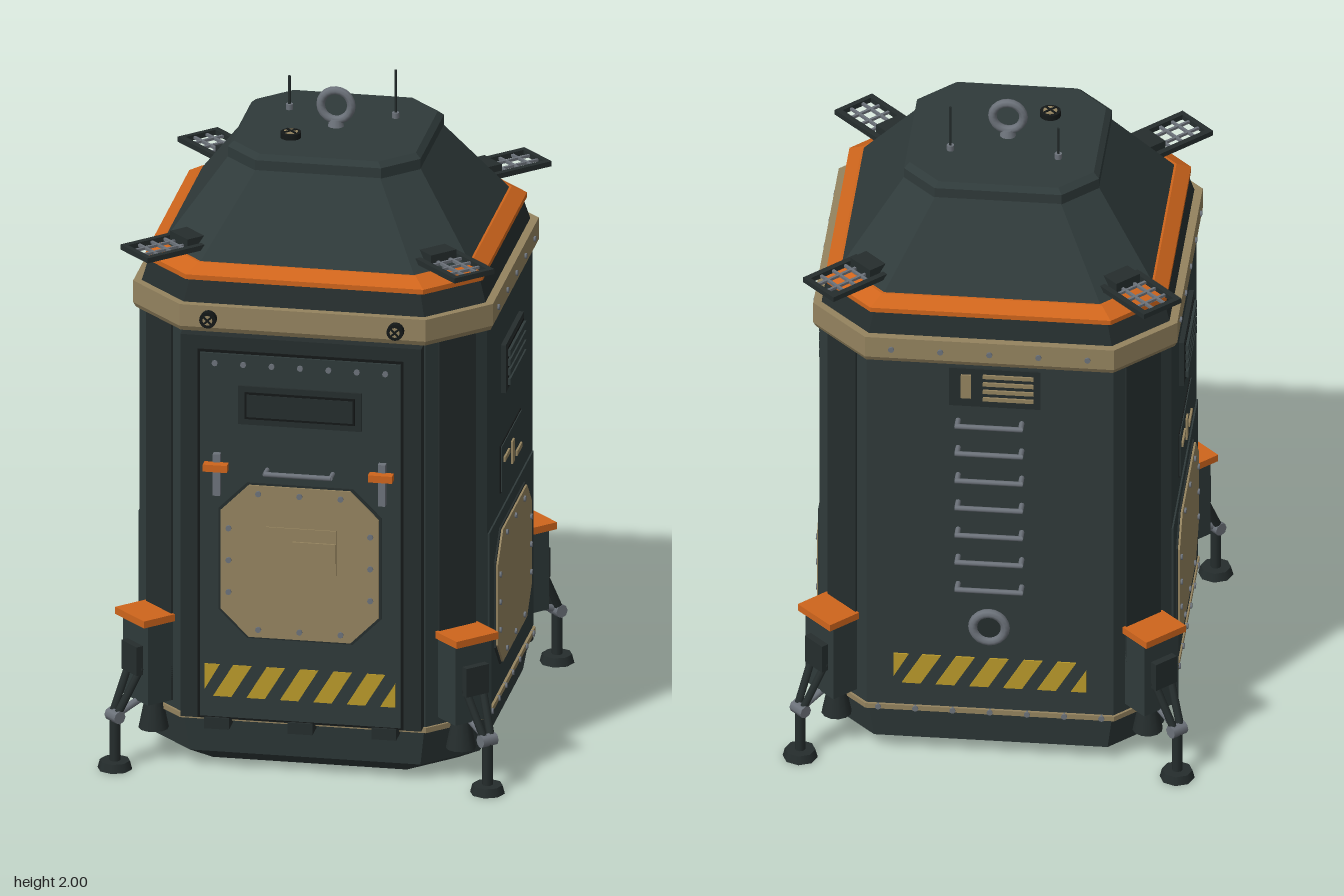
import * as THREE from 'three';

const mat = (name, color) => {
  const m = new THREE.MeshStandardMaterial({ color });
  m.name = name;
  return m;
};
const hull = mat('hull slate', 0x2f3a3a), dark = mat('dark slate', 0x252d2d), black = mat('black', 0x141818);
const tan = mat('tan', 0x94835f), orange = mat('orange', 0xcf651c), yellow = mat('yellow', 0xb9992a), grey = mat('grey', 0x6c727a);

function add(parent, name, geo, material, x = 0, y = 0, z = 0) {
  const m = new THREE.Mesh(geo, material);
  m.name = name;
  m.position.set(x, y, z);
  parent.add(m);
  return m;
}
// Box given by its limits
const box = (p, name, m, x0, x1, y0, y1, z0, z1) =>
  add(p, name, new THREE.BoxGeometry(x1 - x0, y1 - y0, z1 - z0), m, (x0 + x1) / 2, (y0 + y1) / 2, (z0 + z1) / 2);
const cyl = (p, name, m, r0, r1, h, x, y, z, n = 12) =>
  add(p, name, new THREE.CylinderGeometry(r0, r1, h, n), m, x, y, z);
// Short cylinder pointing out of a wall (+z)
const disc = (p, name, m, r, h, x, y, z, n = 12) => {
  const d = cyl(p, name, m, r, r, h, x, y, z, n);
  d.rotation.x = Math.PI / 2;
  return d;
};
const bolt = (p, x, y, z) => disc(p, 'bolt', grey, 0.009, 0.012, x, y, z, 8);
// Rod between two points
function rod(p, name, m, a, b, r, n = 8) {
  const A = new THREE.Vector3(...a), B = new THREE.Vector3(...b), d = B.clone().sub(A);
  const s = cyl(p, name, m, r, r, d.length(), 0, 0, 0, n);
  s.position.copy(A).add(B).multiplyScalar(0.5);
  s.quaternion.setFromUnitVectors(new THREE.Vector3(0, 1, 0), d.normalize());
}
// Flat-sided loft through square rings with cut corners: [y, half width, corner cut]
function loft(rings) {
  const loops = rings.map(([y, h, c]) => {
    const k = h - c;
    return [[h, -k], [h, k], [k, h], [-k, h], [-h, k], [-h, -k], [-k, -h], [k, -h]].map(([x, z]) => [x, y, z]);
  });
  const v = [], top = loops[loops.length - 1], bot = loops[0];
  for (let i = 0; i < 8; i++) {
    const j = (i + 1) % 8;
    for (let r = 0; r + 1 < loops.length; r++) {
      const a = loops[r], b = loops[r + 1];
      v.push(...a[i], ...b[i], ...b[j], ...a[i], ...b[j], ...a[j]);
    }
    v.push(0, top[0][1], 0, ...top[j], ...top[i], 0, bot[0][1], 0, ...bot[i], ...bot[j]);
  }
  const g = new THREE.BufferGeometry();
  g.setAttribute('position', new THREE.Float32BufferAttribute(v, 3));
  g.computeVertexNormals();
  return g;
}
// Extruded polygon
const plate = (p, name, m, pts, depth, x, y, z) =>
  add(p, name, new THREE.ExtrudeGeometry(new THREE.Shape(pts.map(q => new THREE.Vector2(...q))), { depth, bevelEnabled: false }), m, x, y, z);

// Cut-corner cover with bolts round its edge
function hatch(p, name, w, h, c, y, z) {
  const ring = (a, b, k) => [[-a + k, -b], [a - k, -b], [a, -b + k], [a, b - k], [a - k, b], [-a + k, b], [-a, b - k], [-a, -b + k]];
  plate(p, name + 'Edge', dark, ring(w + 0.006, h + 0.006, c), 0.006, 0, y, z);
  plate(p, name, tan, ring(w, h, c), 0.012, 0, y, z);
  for (const s of [-1, 1]) {
    for (const i of [-1, 0, 1]) bolt(p, i * w * 0.52, y + s * (h - 0.025), z + 0.012);
    for (const i of [-1, 0, 1]) bolt(p, s * (w - 0.025), y + i * h * 0.42, z + 0.012);
  }
}
// Slanted warning stripes
function hazard(p, z) {
  const s = (pts) => plate(p, 'warningStripe', yellow, pts, 0.006, 0, 0.255, z);
  for (let k = 0; k < 5; k++) {
    const b = -0.26 + k * 0.1;
    s([[b, 0], [b + 0.055, 0], [b + 0.115, 0.1], [b + 0.06, 0.1]]);
  }
  s([[-0.285, 0.02], [-0.24, 0.1], [-0.285, 0.1]]);
  s([[0.24, 0], [0.285, 0], [0.285, 0.075]]);
}

function buildFront(f) {
  box(f, 'doorFrame', dark, -0.36, 0.36, 0.18, 1.38, 0.5, 0.565);
  box(f, 'doorGap', black, -0.308, 0.308, 0.182, 1.338, 0.52, 0.568);
  box(f, 'door', hull, -0.3, 0.3, 0.19, 1.33, 0.52, 0.575);
  for (let i = -3; i <= 3; i++) bolt(f, i * 0.085, 1.3, 0.575);
  box(f, 'windowFrame', dark, -0.185, 0.185, 1.115, 1.235, 0.57, 0.582);
  box(f, 'windowGap', black, -0.165, 0.165, 1.133, 1.217, 0.57, 0.584);
  box(f, 'window', dark, -0.158, 0.158, 1.14, 1.21, 0.57, 0.586);
  hatch(f, 'doorHatch', 0.237, 0.238, 0.085, 0.688, 0.573);
  box(f, 'hatchPlate', tan, -0.1, 0.11, 0.66, 0.8, 0.58, 0.589);
  box(f, 'hatchPlateStep', tan, -0.02, 0.11, 0.7, 0.76, 0.58, 0.595);
  hazard(f, 0.572);
  for (const s of [-1, 1]) {
    box(f, 'latchBar', grey, s * 0.247 - 0.011, s * 0.247 + 0.011, 0.89, 1.02, 0.57, 0.595);
    box(f, 'latchLever', orange, s * 0.247 - 0.036, s * 0.247 + 0.036, 0.973, 0.995, 0.59, 0.62);
    rod(f, 'handlePost', grey, [s * 0.098, 0.975, 0.57], [s * 0.098, 0.975, 0.617], 0.007);
    disc(f, 'lampRim', black, 0.025, 0.03, s * 0.28, 1.425, 0.545, 16);
    disc(f, 'lamp', tan, 0.015, 0.032, s * 0.28, 1.425, 0.546);
    for (const t of [-1, 1]) box(f, 'lampCross', black, -0.017, 0.017, -0.003, 0.003, -0.002, 0.002)
      .position.set(s * 0.28, 1.425, 0.562), f.children[f.children.length - 1].rotation.z = t * Math.PI / 4;
  }
  rod(f, 'doorHandle', grey, [-0.1, 0.975, 0.615], [0.1, 0.975, 0.615], 0.008);
  for (const x of [-0.25, 0, 0.25]) box(f, 'doorHinge', dark, x - 0.037, x + 0.037, 0.15, 0.185, 0.5, 0.575);
}

function buildSide(f) {
  box(f, 'lowerPanel', hull, -0.355, 0.355, 0.19, 0.735, 0.51, 0.525);
  hatch(f, 'sideHatch', 0.272, 0.207, 0.08, 0.482, 0.524);
  // Louvred vent
  box(f, 'ventFrame', dark, -0.145, 0.145, 1.1, 1.25, 0.51, 0.535);
  box(f, 'ventGap', black, -0.128, 0.128, 1.113, 1.237, 0.51, 0.538);
  for (let i = 0; i < 4; i++) box(f, 'ventSlat', hull, -0.126, 0.126, 1.119 + i * 0.03, 1.139 + i * 0.03, 0.51, 0.546);
  // Marker panel
  box(f, 'markerPanelEdge', black, -0.164, 0.164, 0.791, 0.939, 0.51, 0.523);
  box(f, 'markerPanel', hull, -0.16, 0.16, 0.795, 0.935, 0.51, 0.526);
  box(f, 'marker', tan, -0.135, -0.055, 0.88, 0.895, 0.52, 0.532);
  box(f, 'marker', tan, -0.017, 0.017, 0.83, 0.9, 0.52, 0.532);
  box(f, 'marker', tan, 0.058, 0.138, 0.828, 0.843, 0.52, 0.532);
}

function buildBack(f) {
  box(f, 'backPlate', dark, -0.12, 0.15, 1.235, 1.365, 0.51, 0.528);
  box(f, 'backMarker', tan, -0.085, -0.055, 1.265, 1.345, 0.52, 0.534);
  for (let i = 0; i < 4; i++) box(f, 'backSlat', tan, -0.02, 0.13, 1.258 + i * 0.026, 1.27 + i * 0.026, 0.52, 0.534);
  // Ladder of staple rungs
  for (let i = 0; i < 7; i++) {
    const y = 1.18 - i * 0.095;
    rod(f, 'rung', grey, [-0.1, y, 0.556], [0.1, y, 0.556], 0.008);
    for (const s of [-1, 1]) rod(f, 'rungPost', grey, [s * 0.094, y, 0.51], [s * 0.094, y, 0.556], 0.008);
  }
  disc(f, 'port', dark, 0.045, 0.04, 0, 0.48, 0.53, 16);
  add(f, 'portRing', new THREE.TorusGeometry(0.048, 0.014, 8, 20), grey, 0, 0.48, 0.548);
  hazard(f, 0.519);
}

function buildCorner(c) {
  // Raised strip down the corner
  box(c, 'cornerStrip', dark, -0.065, 0.065, 0.2, 1.38, 0.58, 0.632);
  // Leg housing with cap and nozzle
  box(c, 'legHousing', hull, -0.065, 0.065, 0.2, 0.45, 0.58, 0.715);
  box(c, 'housingCap', orange, -0.075, 0.075, 0.45, 0.472, 0.58, 0.736);
  box(c, 'housingPlate', dark, -0.04, 0.04, 0.29, 0.38, 0.7, 0.738);
  cyl(c, 'nozzle', dark, 0.025, 0.045, 0.1, 0, 0.15, 0.65);
  // Struts, foot and pad
  for (const s of [-1, 1]) rod(c, 'strut', dark, [s * 0.03, 0.31, 0.715], [s * 0.012, 0.17, 0.788], 0.012);
  rod(c, 'brace', grey, [0, 0.21, 0.67], [0, 0.165, 0.788], 0.011);
  rod(c, 'ankle', grey, [-0.026, 0.165, 0.788], [0.026, 0.165, 0.788], 0.02);
  cyl(c, 'foot', dark, 0.016, 0.016, 0.15, 0, 0.095, 0.788, 8);
  cyl(c, 'footPad', dark, 0.045, 0.052, 0.026, 0, 0.013, 0.788, 8);
  // Open grate on the roof edge
  for (const s of [-1, 1]) {
    box(c, 'grateRail', dark, s * 0.062 - 0.009, s * 0.062 + 0.009, 1.592, 1.608, 0.5, 0.72);
    box(c, 'grateBar', grey, s * 0.022 - 0.004, s * 0.022 + 0.004, 1.596, 1.604, 0.52, 0.71);
  }
  box(c, 'grateEnd', dark, -0.062, 0.062, 1.592, 1.608, 0.704, 0.72);
  for (const z of [0.575, 0.62, 0.665]) box(c, 'grateBar', grey, -0.06, 0.06, 1.596, 1.604, z - 0.004, z + 0.004);
  box(c, 'grateMount', dark, -0.045, 0.045, 1.59, 1.625, 0.49, 0.56);
}

export function createModel() {
  const model = new THREE.Group();
  model.name = 'landerPod';
  const pod = new THREE.Group();
  pod.name = 'pod';
  pod.position.z = -0.008;
  model.add(pod);

  // Hull stack from bottom to top
  add(pod, 'lowerHull', loft([[0.003, 0.42, 0.13], [0.05, 0.495, 0.15], [0.165, 0.515, 0.155]]), hull);
  add(pod, 'bottomTrim', loft([[0.162, 0.528, 0.16], [0.178, 0.528, 0.16]]), tan);
  add(pod, 'body', loft([[0.178, 0.52, 0.155], [1.385, 0.52, 0.155]]), hull);
  add(pod, 'upperBand', loft([[1.38, 0.53, 0.165], [1.395, 0.538, 0.17], [1.463, 0.538, 0.17]]), tan);
  add(pod, 'roofSkirt', loft([[1.46, 0.515, 0.155], [1.53, 0.495, 0.15]]), dark);
  add(pod, 'roofStripe', loft([[1.53, 0.505, 0.15], [1.545, 0.505, 0.15], [1.572, 0.465, 0.14]]), orange);
  add(pod, 'roof', loft([[1.57, 0.46, 0.14], [1.815, 0.28, 0.1]]), hull);
  add(pod, 'roofTop', loft([[1.8, 0.288, 0.1], [1.835, 0.288, 0.1], [1.85, 0.272, 0.095]]), hull);

  // Four walls, each built facing +z and turned into place
  [buildFront, buildSide, buildBack, buildSide].forEach((build, i) => {
    const wall = new THREE.Group();
    wall.name = ['frontWall', 'leftWall', 'backWall', 'rightWall'][i];
    wall.rotation.y = i * Math.PI / 2;
    build(wall);
    if (i > 0) {
      for (let k = -2; k <= 2; k++) bolt(wall, k * 0.145, 1.425, 0.538);
      for (let k = -3; k <= 3; k++) bolt(wall, k * 0.11, 0.17, 0.527);
    }
    pod.add(wall);
  });
  // Four corners
  for (let i = 0; i < 4; i++) {
    const corner = new THREE.Group();
    corner.name = 'corner';
    corner.rotation.y = Math.PI / 4 + i * Math.PI / 2;
    buildCorner(corner);
    pod.add(corner);
  }

  // Roof fittings
  add(pod, 'liftingRing', new THREE.TorusGeometry(0.046, 0.013, 8, 20), grey, 0, 1.915, 0);
  cyl(pod, 'ringBase', grey, 0.018, 0.025, 0.025, 0, 1.86, 0);
  for (const [x, z, h] of [[0.16, -0.098, 0.15], [-0.16, -0.112, 0.105]]) {
    cyl(pod, 'antenna', dark, 0.004, 0.004, h, x, 1.85 + h / 2, z, 6);
    cyl(pod, 'antennaBase', grey, 0.011, 0.011, 0.02, x, 1.857, z, 8);
  }
  cyl(pod, 'beaconRim', black, 0.031, 0.031, 0.02, -0.113, 1.857, 0.118, 16);
  cyl(pod, 'beacon', tan, 0.021, 0.021, 0.022, -0.113, 1.858, 0.118, 16);
  for (const s of [-1, 1]) {
    const bar = box(pod, 'beaconCross', black, -0.022, 0.022, -0.002, 0.002, -0.003, 0.003);
    bar.position.set(-0.113, 1.87, 0.118);
    bar.rotation.y = s * Math.PI / 4;
  }
  return model;
}
